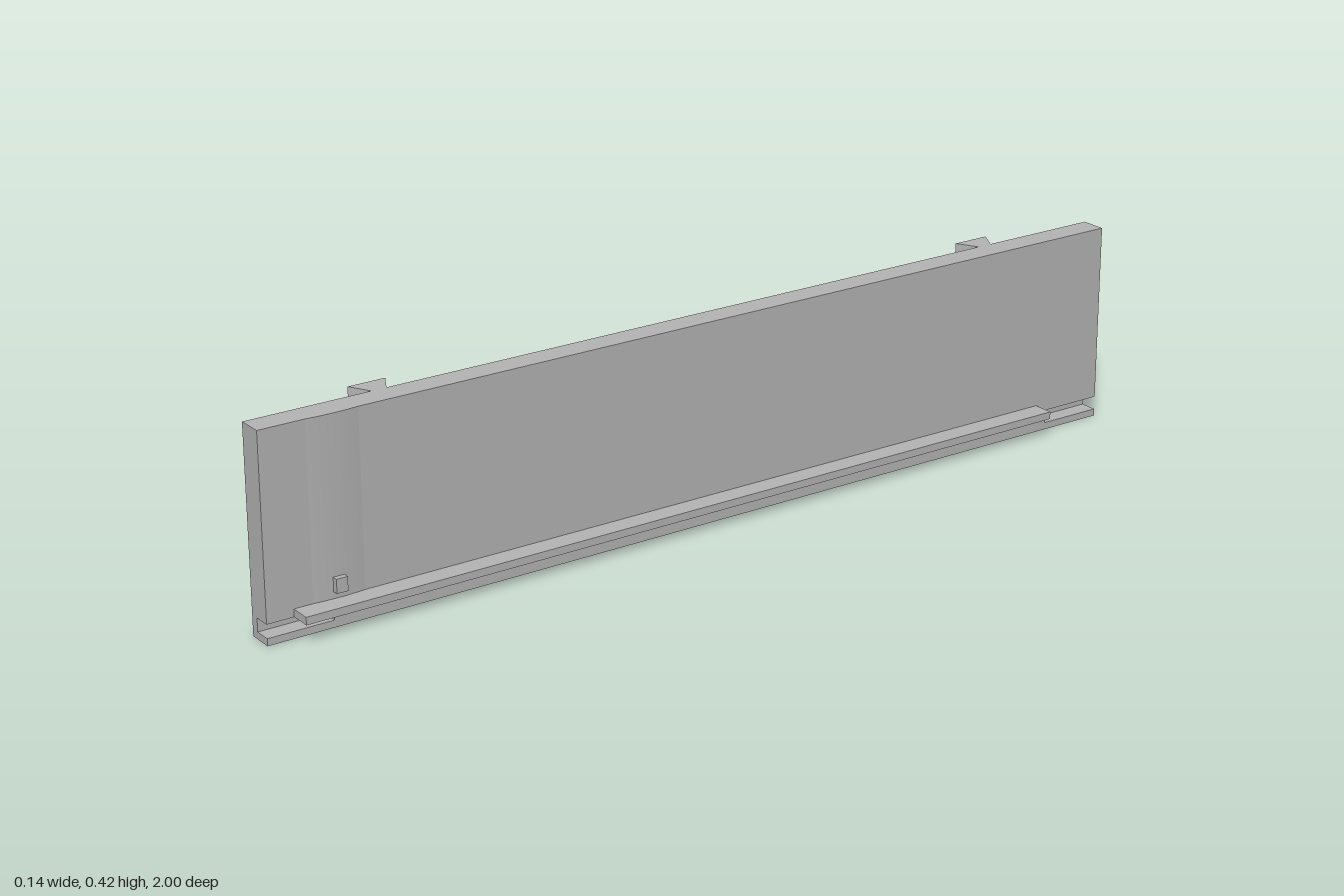
import * as THREE from 'three';
import { toCreasedNormals } from 'three/addons/utils/BufferGeometryUtils.js';

const BACK = -0.028, MID = -0.01, FACE = 0.026, TOP = 0.42;

const toShape = (points) => new THREE.Shape(points.map(([a, b]) => new THREE.Vector2(a, b)));

// Side outline given as [z, y], extruded along x from x0 to x1
function sidePlate(points, x0, x1) {
  const shape = toShape(points.map(([z, y]) => [-z, y]));
  return new THREE.ExtrudeGeometry(shape, { depth: x1 - x0, bevelEnabled: false })
    .rotateY(Math.PI / 2).translate(x0, 0, 0);
}

// Plan outline given as [x, z], extruded upward from y0 to y1
function column(points, y0, y1) {
  const shape = toShape(points.map(([x, z]) => [x, -z]));
  return new THREE.ExtrudeGeometry(shape, { depth: y1 - y0, bevelEnabled: false })
    .rotateX(-Math.PI / 2).translate(0, y0, 0);
}

function block(x0, x1, y0, y1, z0, z1) {
  return new THREE.BoxGeometry(x1 - x0, y1 - y0, z1 - z0)
    .translate((x0 + x1) / 2, (y0 + y1) / 2, (z0 + z1) / 2);
}

export function createModel() {
  const model = new THREE.Group();
  model.name = 'slidingPanel';
  const grey = new THREE.MeshStandardMaterial({ color: 0xb4b4b4 });
  grey.name = 'plain grey';

  const add = (name, geometry) => {
    const mesh = new THREE.Mesh(geometry, grey);
    mesh.name = name;
    model.add(mesh);
  };

  // Board: plain back layer, and a front layer notched near the foot of both ends
  add('boardBack', block(BACK, MID, 0, TOP, -1, 1));
  add('boardFace', sidePlate([
    [-1, 0], [1, 0], [1, 0.015], [0.86, 0.015], [0.86, 0.043], [1, 0.043],
    [1, TOP], [-1, TOP], [-1, 0.043], [-0.86, 0.043], [-0.86, 0.015], [-1, 0.015],
  ], MID, FACE));

  // Long ledge along the foot of the face
  add('ledge', block(FACE, 0.071, 0.043, 0.059, -0.835, 0.943));

  // Shallow rounded swelling with a small stop peg
  const swell = [];
  for (let i = 0; i <= 12; i++) {
    const t = i / 12;
    swell.push([FACE + 0.003 * 4 * t * (1 - t), 0.903 - 0.11 * t]);
  }
  add('swelling', toCreasedNormals(column(swell, 0.043, TOP), 0.5));
  add('stopPeg', block(FACE, 0.041, 0.073, 0.102, 0.837, 0.861));

  // Two dovetail rails on the other side
  for (const z of [0.718, -0.725]) {
    add('dovetailRail', column([
      [BACK, z - 0.016], [-0.073, z - 0.04], [-0.073, z + 0.04], [BACK, z + 0.016],
    ], 0.03, TOP));
  }
  return model;
}
